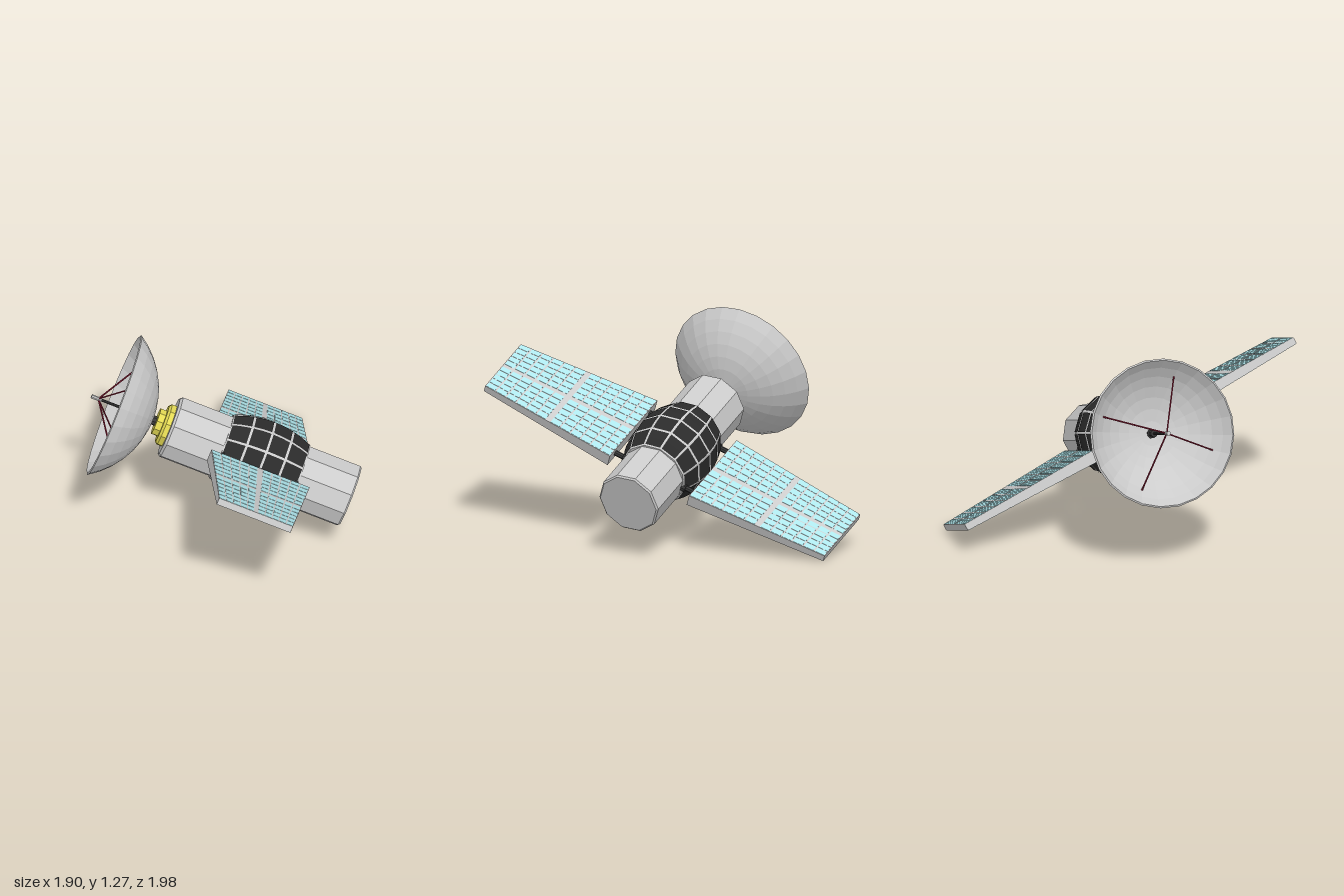
import * as THREE from 'three';
import { mergeGeometries } from 'three/addons/utils/BufferGeometryUtils.js';

const mat = (color) => new THREE.MeshStandardMaterial({ color, flatShading: true });
const grey = mat(0xcccccc), dark = mat(0x2b2b2b), black = mat(0x3a3a3a);
const yellow = mat(0xe3d954), blue = mat(0xaee6ec), red = mat(0x8f1f38);

const v2 = (x, y) => new THREE.Vector2(x, y);

function add(parent, name, geometry, material) {
  const mesh = new THREE.Mesh(geometry, material);
  mesh.name = name;
  parent.add(mesh);
  return mesh;
}

// straight round bar between two points
function bar(parent, name, from, to, radius, material, sides = 8) {
  const a = new THREE.Vector3(...from), b = new THREE.Vector3(...to);
  const dir = b.clone().sub(a);
  const mesh = add(parent, name, new THREE.CylinderGeometry(radius, radius, dir.length(), sides), material);
  mesh.position.copy(a).add(b).multiplyScalar(0.5);
  mesh.quaternion.setFromUnitVectors(new THREE.Vector3(0, 1, 0), dir.normalize());
}

// box inside a tapered panel: u across (-1..1), v outward (0..1), w thickness scale
function panelBlock(u0, u1, v0, v1, w) {
  const g = new THREE.BoxGeometry(1, 1, 1);
  const p = g.attributes.position;
  for (let i = 0; i < p.count; i++) {
    const v = p.getX(i) > 0 ? v1 : v0;
    const u = p.getY(i) > 0 ? u1 : u0;
    const side = Math.sign(p.getZ(i));
    p.setXYZ(i, 0.275 + 0.905 * v, u * (0.32 - 0.08 * v), side * (0.037 - 0.016 * v + w));
  }
  g.computeVertexNormals();
  return g;
}

// start and end of each cell along a 0..1 span, with a wide gap in the middle
function spans(perHalf, gap, middle) {
  const out = [];
  const step = (0.5 - middle / 2) / perHalf;
  for (const start of [0, 0.5 + middle / 2]) {
    for (let i = 0; i < perHalf; i++) {
      out.push([start + i * step + gap / 2, start + (i + 1) * step - gap / 2]);
    }
  }
  return out;
}

function solarWing() {
  const wing = new THREE.Group();
  wing.name = 'solarWing';
  add(wing, 'panelSlab', panelBlock(-1, 1, 0, 1, 0), grey);
  const cells = [];
  for (const [u0, u1] of spans(5, 0.014, 0.045)) {
    for (const [v0, v1] of spans(6, 0.011, 0.03)) {
      cells.push(panelBlock(2 * u0 - 1, 2 * u1 - 1, v0, v1, 0.0015));
    }
  }
  add(wing, 'solarCells', mergeGeometries(cells), blue);
  // two arms joining the panel to the hull
  for (const y of [-0.23, 0.23]) {
    bar(wing, 'panelArm', [0.15, y, 0], [0.3, y, 0], 0.017, black);
    bar(wing, 'armCollar', [0.17, y, 0], [0.217, y, 0], 0.028, black, 10);
  }
  return wing;
}

// faceted hull with the dark tiled bulge around its middle
function hull() {
  const g = new THREE.Group();
  g.name = 'hull';
  add(g, 'body', new THREE.LatheGeometry([
    v2(0, -0.59), v2(0.19, -0.59), v2(0.2, -0.58), v2(0.2, 0.575), v2(0.185, 0.59), v2(0, 0.59),
  ], 10), grey);

  const radius = (y) => 0.207 + 0.056 * (1 - (y / 0.25) ** 2);
  const rows = 4, columns = 12, profile = [v2(0.18, -0.25)];
  for (let i = 0; i <= 8; i++) {
    const y = -0.25 + i * 0.0625;
    profile.push(v2(radius(y), y));
  }
  profile.push(v2(0.18, 0.25));
  add(g, 'bulge', new THREE.LatheGeometry(profile, columns), grey);

  const tiles = [];
  const step = (Math.PI * 2) / columns;
  for (let r = 0; r < rows; r++) {
    const points = [];
    for (let k = 0; k <= 2; k++) {
      const y = -0.25 + 0.125 * r + 0.007 + 0.0555 * k;
      points.push(v2(radius(y) + 0.003, y));
    }
    for (let c = 0; c < columns; c++) {
      tiles.push(new THREE.LatheGeometry(points, 1, c * step + 0.028, step - 0.056));
    }
  }
  add(g, 'bulgeTiles', mergeGeometries(tiles), dark);
  return g;
}

// dish with its mount, feed rod and struts; y = 0 is the front of the hull
function antenna() {
  const g = new THREE.Group();
  g.name = 'antenna';
  add(g, 'mount', new THREE.LatheGeometry([
    v2(0.135, -0.01), v2(0.135, 0.03), v2(0.118, 0.045), v2(0.085, 0.045), v2(0.085, 0.085), v2(0, 0.085),
  ], 10), yellow);
  bar(g, 'mountShaft', [0, 0.08, 0], [0, 0.13, 0], 0.03, black);

  // spherical bowl: outer skin, rim, then inner skin
  const sphere = 0.537, edge = Math.asin(0.454 / sphere), outer = [], inner = [];
  for (let i = 0; i <= 7; i++) {
    const a = (edge * i) / 7;
    outer.push(v2(sphere * Math.sin(a), 0.105 + sphere * (1 - Math.cos(a))));
    inner.unshift(v2((sphere - 0.012) * Math.sin(a), 0.117 + (sphere - 0.012) * (1 - Math.cos(a))));
  }
  add(g, 'dish', new THREE.LatheGeometry([...outer, ...inner], 24), grey);

  bar(g, 'feedBase', [0, 0.11, 0], [0, 0.18, 0], 0.022, black);
  bar(g, 'feedRod', [0, 0.17, 0], [0, 0.45, 0], 0.009, black);
  bar(g, 'feedTip', [0, 0.44, 0], [0, 0.505, 0], 0.013, grey);
  for (let i = 0; i < 4; i++) {
    const a = Math.PI / 4 + (i * Math.PI) / 2;
    bar(g, 'strut', [0, 0.46, 0], [0.36 * Math.cos(a), 0.258, 0.36 * Math.sin(a)], 0.005, red, 6);
  }
  return g;
}

export function createModel() {
  const model = new THREE.Group();
  model.name = 'satellite';

  const craft = new THREE.Group();
  craft.name = 'craft';
  craft.add(hull());
  const dish = antenna();
  dish.position.y = 0.59;
  craft.add(dish);
  for (const turn of [0, Math.PI]) {
    const wing = solarWing();
    wing.rotation.y = turn;
    craft.add(wing);
  }

  // tilt: hull axis along local y, wings along local x
  const axis = new THREE.Vector3(-0.82, 0.334, 0.465).normalize();
  const wingDir = new THREE.Vector3(0.556, 0.374, 0.743);
  wingDir.addScaledVector(axis, -wingDir.dot(axis)).normalize();
  const third = new THREE.Vector3().crossVectors(wingDir, axis);
  craft.quaternion.setFromRotationMatrix(new THREE.Matrix4().makeBasis(wingDir, axis, third));
  craft.position.set(0.08, 0.54, 0);
  model.add(craft);
  return model;
}
